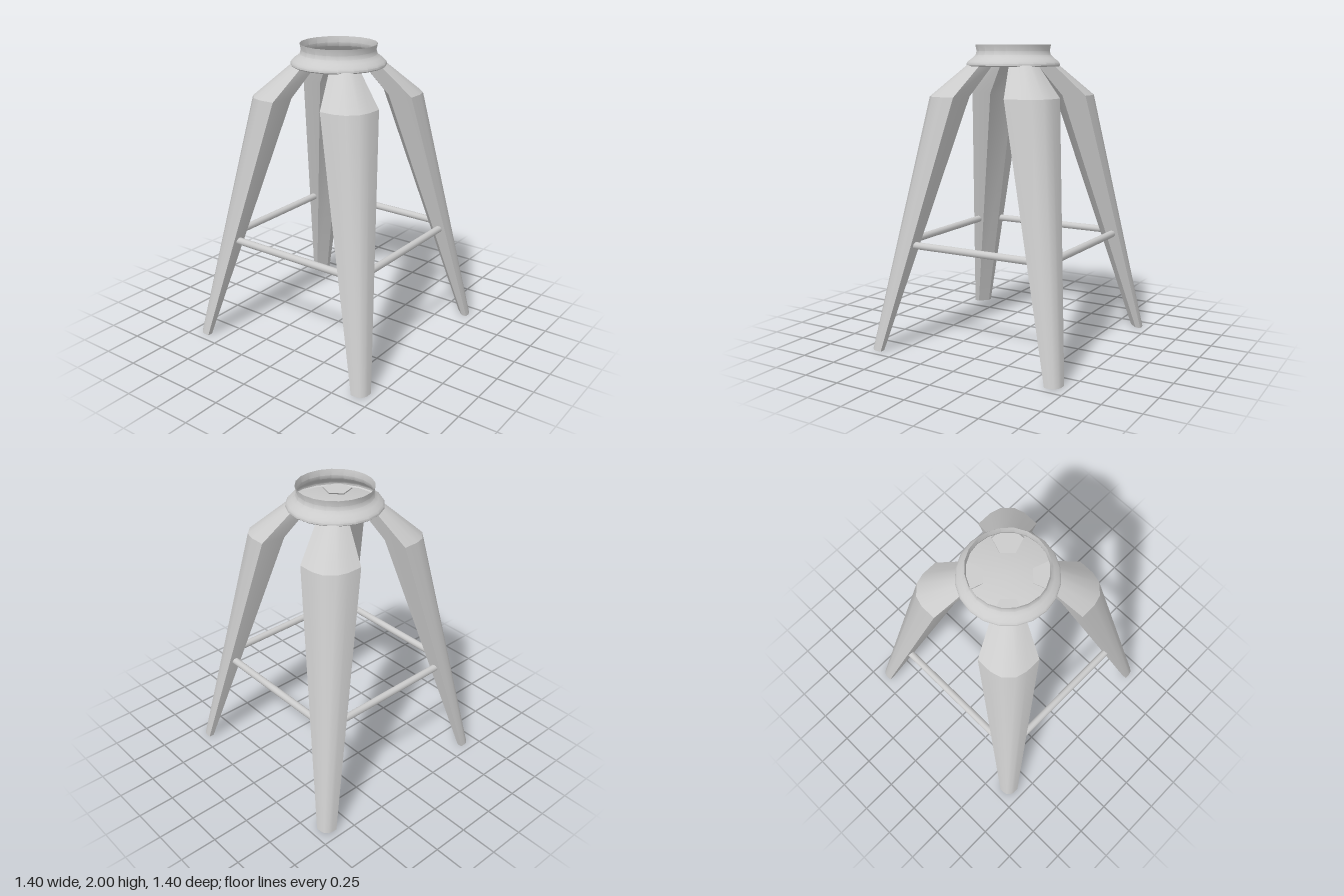
import * as THREE from 'three';
import { toCreasedNormals } from 'three/addons/utils/BufferGeometryUtils.js';

const solid = new THREE.MeshStandardMaterial({ color: 0xcccccc });
const thin = new THREE.MeshStandardMaterial({ color: 0xcccccc, side: THREE.DoubleSide });
const CREASE = 0.55;

// Rounded outside of the leg section at the knee (x, z)
const OUTER = [
  [0.44, 0.185], [0.44, 0.29], [0.42, 0.36], [0.36, 0.42], [0.29, 0.44], [0.185, 0.44],
];

// Foot, knee and top: height, scale and diagonal offset of the outside,
// and the corner of the bevelled inner face (mirrored across the diagonal)
const LEVELS = [
  { y: 0, scale: 0.35, offset: 0.545, inner: [0.665, 0.607] },
  { y: 1.67, scale: 1, offset: 0, inner: [0.28, 0.165] },
  { y: 1.877, scale: 0.52, offset: 0.008, inner: [0.136, 0.07] },
];

function legGeometry() {
  const n = OUTER.length + 2;
  const positions = [];
  const index = [];
  for (const { y, scale, offset, inner: [a, b] } of LEVELS) {
    for (const [x, z] of OUTER) positions.push(x * scale + offset, y, z * scale + offset);
    positions.push(b, y, a, a, y, b);
  }
  // Sides
  for (let level = 0; level < LEVELS.length - 1; level++) {
    for (let i = 0; i < n; i++) {
      const a = level * n + i;
      const b = level * n + (i + 1) % n;
      index.push(a, a + n, b, b, a + n, b + n);
    }
  }
  // End caps
  const top = (LEVELS.length - 1) * n;
  for (let i = 1; i < n - 1; i++) {
    index.push(0, i, i + 1);
    index.push(top, top + i + 1, top + i);
  }
  const geometry = new THREE.BufferGeometry();
  geometry.setAttribute('position', new THREE.Float32BufferAttribute(positions, 3));
  geometry.setIndex(index);
  return toCreasedNormals(geometry, CREASE);
}

// Thin open shell: flat floor, rounded lip, flared wall and narrow neck
function cupGeometry() {
  const profile = [
    [0, 1.866], [0.29, 1.866], [0.302, 1.861], [0.31, 1.868], [0.309, 1.88],
    [0.298, 1.895], [0.27, 1.915], [0.249, 1.935], [0.242, 1.96], [0.25, 2],
  ].map(([r, y]) => new THREE.Vector2(r, y));
  return toCreasedNormals(new THREE.LatheGeometry(profile, 20), CREASE);
}

export function createModel() {
  const stool = new THREE.Group();
  stool.name = 'stoolBase';

  const add = (name, geometry, material, parent) => {
    const mesh = new THREE.Mesh(geometry, material);
    mesh.name = name;
    parent.add(mesh);
  };

  // Flared cup that joins the legs
  add('topCup', cupGeometry(), thin, stool);

  // Four legs and the rails between them
  const leg = legGeometry();
  const rail = new THREE.CylinderGeometry(0.024, 0.024, 0.98, 12);
  rail.rotateZ(Math.PI / 2);
  rail.translate(0, 0.71, 0.543);
  for (let i = 0; i < 4; i++) {
    const side = new THREE.Group();
    side.name = `side${i + 1}`;
    side.rotation.y = i * Math.PI / 2;
    add('leg', leg, solid, side);
    add('footRail', rail, solid, side);
    stool.add(side);
  }
  return stool;
}
